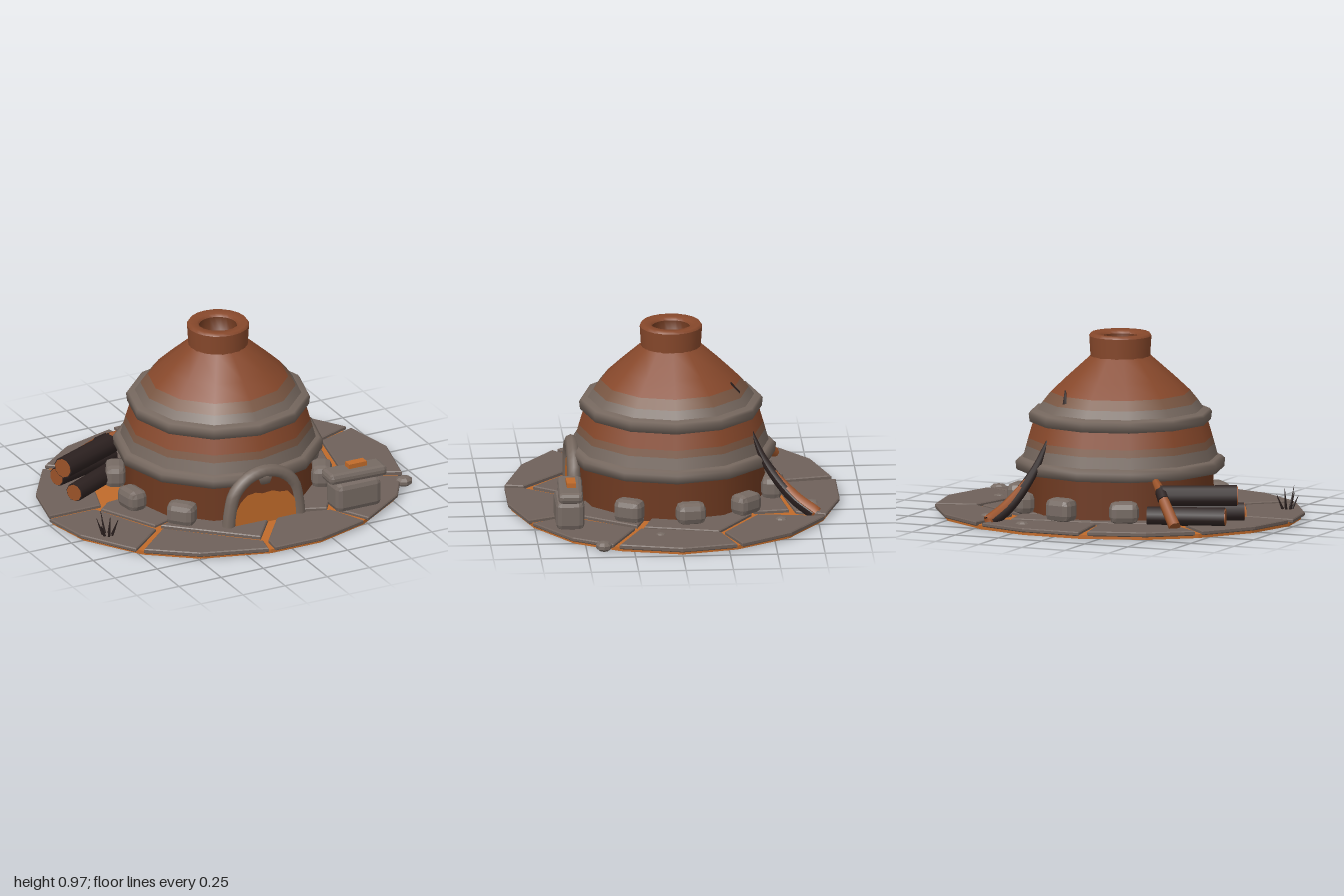
import * as THREE from 'three';
import { RoundedBoxGeometry } from 'three/addons/geometries/RoundedBoxGeometry.js';

const mat = (name, color, extra = {}) =>
  Object.assign(new THREE.MeshStandardMaterial({ color, ...extra }), { name });

export function createModel() {
  const root = new THREE.Group();
  const two = { side: THREE.DoubleSide };
  const rust = mat('rust clay', 0x87482b, two);
  const darkRust = mat('dark clay', 0x6c381f, two);
  const blend = mat('sooty clay', 0x7a5743, two);
  const ash = mat('ash grey', 0x75675e, two);
  const slabGrey = mat('slab grey', 0x6f615a, { flatShading: true });
  const stone = mat('stone', 0x766a63, { flatShading: true });
  const char = mat('charred wood', 0x2c2120, two);
  const ember = mat('ember orange', 0xc06a2a, two);
  const wood = mat('scorched wood', 0x9a5228, two);

  const add = (name, geo, material, x = 0, y = 0, z = 0, parent = root) => {
    const m = new THREE.Mesh(geo, material);
    m.name = name;
    m.position.set(x, y, z);
    parent.add(m);
    return m;
  };
  const group = (name) => {
    const g = new THREE.Group();
    g.name = name;
    root.add(g);
    return g;
  };
  const V = (x, y, z) => new THREE.Vector3(x, y, z);
  const shapeXZ = (pts, s = 1) => new THREE.Shape(pts.map(([x, z]) => new THREE.Vector2(x * s, -z * s)));

  // cylinder between two points
  const rod = (name, a, b, ra, rb, material, parent = root, sides = 10) => {
    const m = add(name, new THREE.CylinderGeometry(rb, ra, a.distanceTo(b), sides), material, 0, 0, 0, parent);
    m.position.copy(a).add(b).multiplyScalar(0.5);
    m.quaternion.setFromUnitVectors(V(0, 1, 0), b.clone().sub(a).normalize());
    return m;
  };

  // glowing ground under the cracked paving
  const outline = [[-0.16, -0.88], [0.17, -0.88], [0.46, -0.79], [0.75, -0.59], [0.93, -0.3], [1, 0], [0.92, 0.33],
    [0.77, 0.57], [0.48, 0.77], [0.17, 0.87], [-0.13, 0.87], [-0.5, 0.76], [-0.75, 0.57], [-0.95, 0.26], [-1, 0],
    [-0.92, -0.31], [-0.73, -0.59], [-0.5, -0.77]];
  const baseGeo = new THREE.ExtrudeGeometry(shapeXZ(outline, 0.98), { depth: 0.022, bevelEnabled: false });
  add('groundBase', baseGeo.rotateX(-Math.PI / 2), ember);

  // paving slabs: outer ring, then the ones running under the dome
  const slabs = [
    [[-0.16, -0.88], [0.17, -0.88], [0.44, -0.79], [0.39, -0.635], [-0.11, -0.555]],
    [[0.48, -0.78], [0.75, -0.59], [0.925, -0.32], [0.72, -0.24], [0.43, -0.43]],
    [[0.94, -0.29], [1, 0], [0.92, 0.33], [0.64, 0.2], [0.73, -0.22]],
    [[0.9, 0.36], [0.77, 0.57], [0.5, 0.76], [0.4, 0.58], [0.62, 0.23]],
    [[-0.11, 0.87], [0.17, 0.87], [0.46, 0.78], [0.37, 0.58], [0.1, 0.5], [-0.1, 0.77]],
    [[-0.74, 0.58], [-0.5, 0.76], [-0.15, 0.87], [-0.13, 0.77], [-0.53, 0.39]],
    [[-1, 0], [-0.95, 0.26], [-0.77, 0.55], [-0.56, 0.37], [-0.73, 0]],
    [[-0.985, -0.03], [-0.92, -0.31], [-0.74, -0.58], [-0.56, -0.4], [-0.68, -0.03]],
    [[-0.71, -0.61], [-0.5, -0.77], [-0.2, -0.86], [-0.14, -0.56], [-0.52, -0.46]],
    [[0.41, -0.4], [0.7, -0.21], [0.605, 0.18], [0.3, 0.08], [0.1, -0.3]],
    [[0.59, 0.215], [0.36, 0.55], [0.12, 0.46], [0.3, 0.12]],
    [[-0.12, 0.72], [0.06, 0.48], [-0.1, 0.2], [-0.52, 0.35]],
    [[-0.7, 0.01], [-0.545, 0.33], [-0.2, 0.2], [-0.2, -0.1], [-0.63, -0.05]],
    [[-0.5, -0.42], [-0.12, -0.53], [0.36, -0.6], [0.38, -0.42], [0, -0.2], [-0.4, -0.2]],
  ];
  const paving = group('paving');
  slabs.forEach((pts, i) => {
    const depth = 0.012 + (i % 3) * 0.002;
    const geo = new THREE.ExtrudeGeometry(shapeXZ(pts),
      { depth, bevelThickness: 0.005, bevelSize: 0.006, bevelOffset: -0.006, bevelSegments: 1 });
    add('slab', geo.rotateX(-Math.PI / 2), slabGrey, 0, 0.021, 0, paving);
  });

  // domed kiln body, coloured in rings
  const ring = (name, pts, material, sides = 12) =>
    add(name, new THREE.LatheGeometry(pts.map(([r, y]) => new THREE.Vector2(r, y)), sides), material);
  ring('lowerWall', [[0.5, 0.02], [0.49, 0.26]], darkRust);
  ring('lowerBand', [[0.48, 0.245], [0.55, 0.25], [0.555, 0.295], [0.535, 0.312], [0.5, 0.318]], ash);
  ring('middleWallAsh', [[0.517, 0.31], [0.499, 0.375]], ash);
  ring('middleWallBlend', [[0.499, 0.375], [0.488, 0.415]], blend);
  ring('middleWallClay', [[0.488, 0.415], [0.46, 0.51]], rust);
  ring('upperBand', [[0.44, 0.5], [0.48, 0.503], [0.485, 0.545], [0.475, 0.56], [0.43, 0.57]], ash);
  ring('domeAsh', [[0.445, 0.56], [0.41, 0.61]], ash);
  ring('domeBlend', [[0.41, 0.61], [0.37, 0.66]], blend);
  ring('domeClay', [[0.37, 0.66], [0.29, 0.735], [0.16, 0.85]], rust);

  // chimney collar with a glowing throat
  ring('chimney', [[0.158, 0.845], [0.165, 0.955]], rust, 20);
  ring('chimneyRim', [[0.165, 0.955], [0.155, 0.97], [0.11, 0.965], [0.1, 0.95]], rust, 20);
  ring('chimneyThroat', [[0.1, 0.95], [0.095, 0.88], [0.05, 0.85]], darkRust, 20);
  add('chimneyGlow', new THREE.CircleGeometry(0.055, 20).rotateX(-Math.PI / 2), ember, 0, 0.852, 0);

  // arched fire mouth
  const archPath = new THREE.CatmullRomCurve3([V(-0.21, 0.03, 0.525), V(-0.2, 0.12, 0.525),
    ...[150, 120, 90, 60, 30].map((d) => {
      const a = d * Math.PI / 180;
      return V(0.2 * Math.cos(a), 0.12 + 0.197 * Math.sin(a), 0.525);
    }), V(0.2, 0.12, 0.525), V(0.21, 0.03, 0.525)]);
  add('doorArch', new THREE.TubeGeometry(archPath, 24, 0.035, 8), ash);
  const back = new THREE.Shape();
  back.moveTo(-0.2, 0.03).lineTo(0.2, 0.03).lineTo(0.2, 0.12).absarc(0, 0.12, 0.2, 0, Math.PI, false);
  add('doorRecess', new THREE.ShapeGeometry(back), darkRust, 0, 0, 0.551 - 0.008);
  const glow = new THREE.Shape([[-0.18, 0.03], [0.18, 0.03], [0.175, 0.13], [0.13, 0.185], [0.08, 0.19], [0.04, 0.205],
    [-0.02, 0.2], [-0.06, 0.212], [-0.11, 0.205], [-0.15, 0.17], [-0.178, 0.12]].map(([x, y]) => new THREE.Vector2(x, y)));
  add('doorGlow', new THREE.ShapeGeometry(glow), ember, 0, 0, 0.547);

  // stones leaning on the wall
  const stones = group('baseStones');
  [[0.55, -0.07], [0.485, 0.25], [0.4, -0.37], [0.1, -0.53], [-0.24, -0.48], [-0.48, -0.25], [-0.545, 0.07], [-0.4, 0.36]]
    .forEach(([x, z], i) => {
      const m = add('baseStone', new RoundedBoxGeometry(0.155, 0.115 + (i % 2) * 0.01, 0.11, 1, 0.035), stone, x, 0.092, z, stones);
      m.rotation.y = Math.atan2(x, z);
    });

  // stone bench with an ember brick
  const bench = group('stoneBench');
  add('benchFoot', new RoundedBoxGeometry(0.265, 0.16, 0.15, 1, 0.03), stone, 0.51, 0.112, 0.57, bench);
  add('benchTop', new RoundedBoxGeometry(0.335, 0.06, 0.13, 1, 0.022), stone, 0.515, 0.22, 0.565, bench).rotation.y = -0.04;
  add('emberBrick', new THREE.BoxGeometry(0.105, 0.025, 0.048), ember, 0.527, 0.264, 0.562, bench);

  // loose pebbles
  [[0.89, 0.41, 0.05, 0.028], [0.235, -0.73, 0.045, 0.026], [0.52, -0.55, 0.045, 0.026], [0.75, 0.1, 0.04, 0.024]]
    .forEach(([x, z, r, h]) => {
      add('pebble', new THREE.SphereGeometry(1, 8, 5), stone, x, 0.026, z).scale.set(r, h, r * 0.9);
    });

  // charred log pile
  const logs = group('logPile');
  [[V(-0.77, 0.085, -0.36), V(-0.38, 0.085, -0.49)], [V(-0.79, 0.185, -0.25), V(-0.42, 0.185, -0.42)],
    [V(-0.78, 0.085, -0.14), V(-0.42, 0.085, -0.33)]].forEach(([a, b], i) => {
    const r = i === 1 ? 0.057 : 0.05;
    rod('log', a, b, r, r, char, logs);
    const end = a.clone().sub(b).normalize().multiplyScalar(0.004).add(a);
    rod('logEnd', end, a, r * 0.9, r * 0.9, wood, logs);
  });

  // stick propped against the logs
  const stick = group('proppedStick');
  rod('stickLower', V(-0.58, 0.05, -0.58), V(-0.47, 0.17, -0.48), 0.033, 0.03, wood, stick, 7);
  rod('stickBurn', V(-0.47, 0.17, -0.48), V(-0.43, 0.21, -0.43), 0.031, 0.031, char, stick, 7);
  rod('stickTip', V(-0.43, 0.21, -0.43), V(-0.375, 0.25, -0.375), 0.028, 0.02, wood, stick, 7);

  // curved charred branch at the back, orange on its outer side
  const branchPath = new THREE.CatmullRomCurve3([V(0.42, 0.035, -0.73), V(0.36, 0.11, -0.62), V(0.28, 0.28, -0.48), V(0.22, 0.49, -0.39)]);
  const taper = (radius, from, to) => {
    const rings = 16, sides = 8;
    const path = new THREE.CatmullRomCurve3(branchPath.getPoints(30).slice(from, to));
    const geo = new THREE.TubeGeometry(path, rings, radius, sides);
    const p = geo.attributes.position, c = new THREE.Vector3(), v = new THREE.Vector3();
    for (let i = 0; i < p.count; i++) {
      const t = Math.floor(i / (sides + 1)) / rings;
      path.getPointAt(t, c);
      v.fromBufferAttribute(p, i).sub(c).multiplyScalar(1.02 - t * t).add(c);
      p.setXYZ(i, v.x, v.y, v.z);
    }
    geo.computeVertexNormals();
    return geo;
  };
  const branch = group('charredBranch');
  add('branchCore', taper(0.035, 0, 31), char, 0, 0, 0, branch);
  add('branchGlow', taper(0.032, 0, 22), wood, 0.007, 0.003, -0.013, branch);

  // splinter stuck in the dome
  rod('domeSplinter', V(0.16, 0.62, -0.34), V(0.18, 0.69, -0.305), 0.02, 0.003, char, root, 5);

  // burnt grass tuft
  const tuft = group('burntGrass');
  for (let i = 0; i < 7; i++) {
    const a = i * 0.9, dx = Math.cos(a), dz = Math.sin(a);
    rod('blade', V(-0.82 + dx * 0.025, 0.035, 0.32 + dz * 0.025),
      V(-0.82 + dx * 0.06, 0.11 + (i % 3) * 0.022, 0.32 + dz * 0.06), 0.008, 0.001, char, tuft, 4);
  }
  return root;
}
